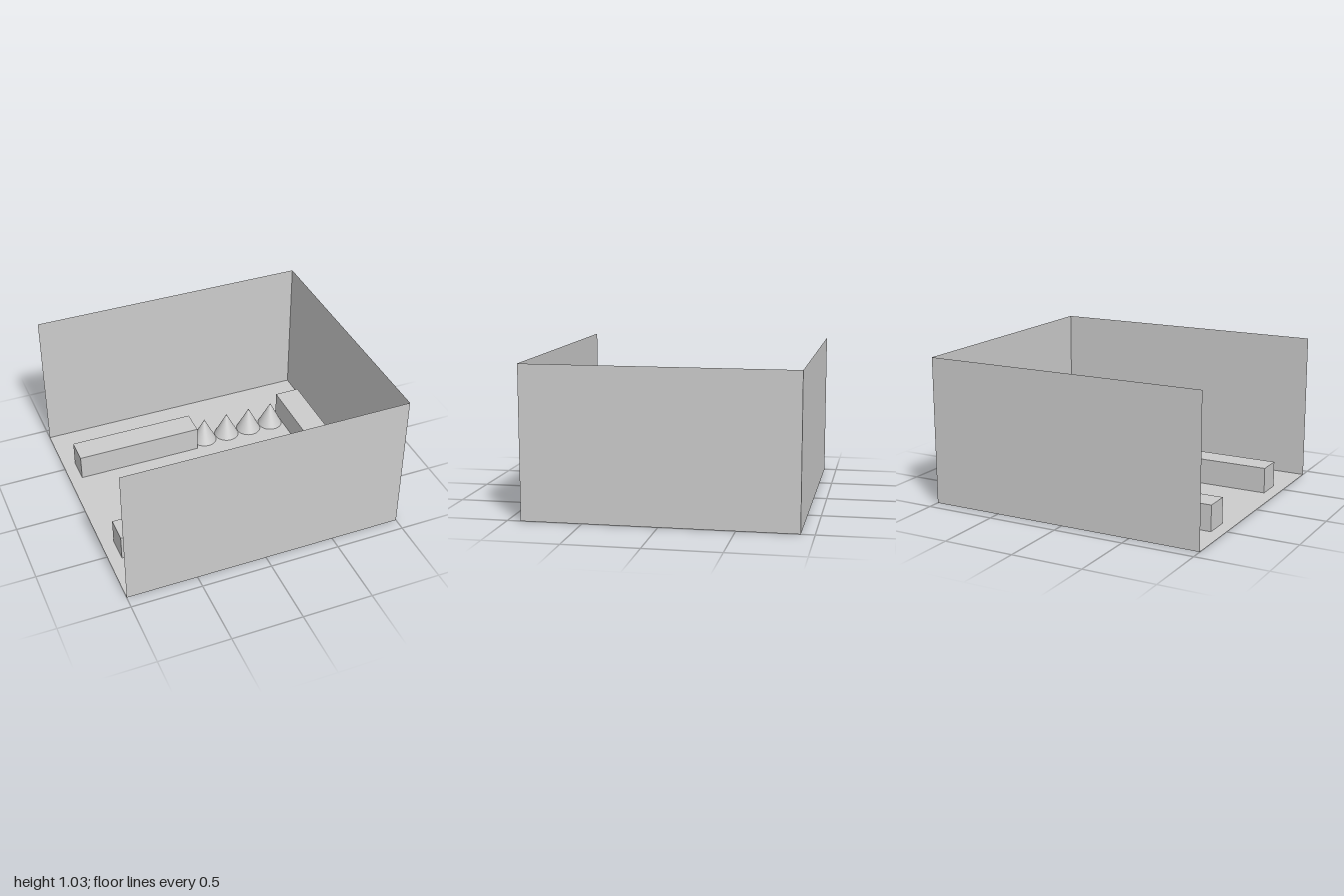
import * as THREE from 'three';

const W = 2, D = 1.82, H = 1.03; // tray size
const T = 0.182;                 // beam thickness and cone diameter

export function createModel() {
  const model = new THREE.Group();
  const solid = new THREE.MeshStandardMaterial({ color: 0xcccccc });
  const sheet = new THREE.MeshStandardMaterial({ color: 0xcccccc, side: THREE.DoubleSide });

  const add = (name, geometry, material, x, y, z) => {
    const mesh = new THREE.Mesh(geometry, material);
    mesh.name = name;
    mesh.position.set(x, y, z);
    model.add(mesh);
    return mesh;
  };

  // Paper-thin floor and three walls; the -x side stays open
  add('floor', new THREE.PlaneGeometry(W, D), sheet, 0, 0, 0).rotation.x = -Math.PI / 2;
  add('frontWall', new THREE.PlaneGeometry(W, H), sheet, 0, H / 2, D / 2);
  add('backWall', new THREE.PlaneGeometry(W, H), sheet, 0, H / 2, -D / 2).rotation.y = Math.PI;
  add('endWall', new THREE.PlaneGeometry(D, H), sheet, W / 2, H / 2, 0).rotation.y = Math.PI / 2;

  // Cross beam along the closed end
  add('crossBeam', new THREE.BoxGeometry(T, T, 6 * T), solid, 4.5 * T, T / 2, 0);

  // Mirrored rows: a long beam followed by four cones
  for (const [side, s] of [['front', 1], ['back', -1]]) {
    const z = s * 2.5 * T;
    add(side + 'Beam', new THREE.BoxGeometry(5 * T, T, T), solid, -2.5 * T, T / 2, z);
    for (let i = 0; i < 4; i++) {
      add(side + 'Cone' + (i + 1), new THREE.ConeGeometry(T / 2, T, 32), solid, (i + 0.5) * T, T / 2, z);
    }
  }
  return model;
}
